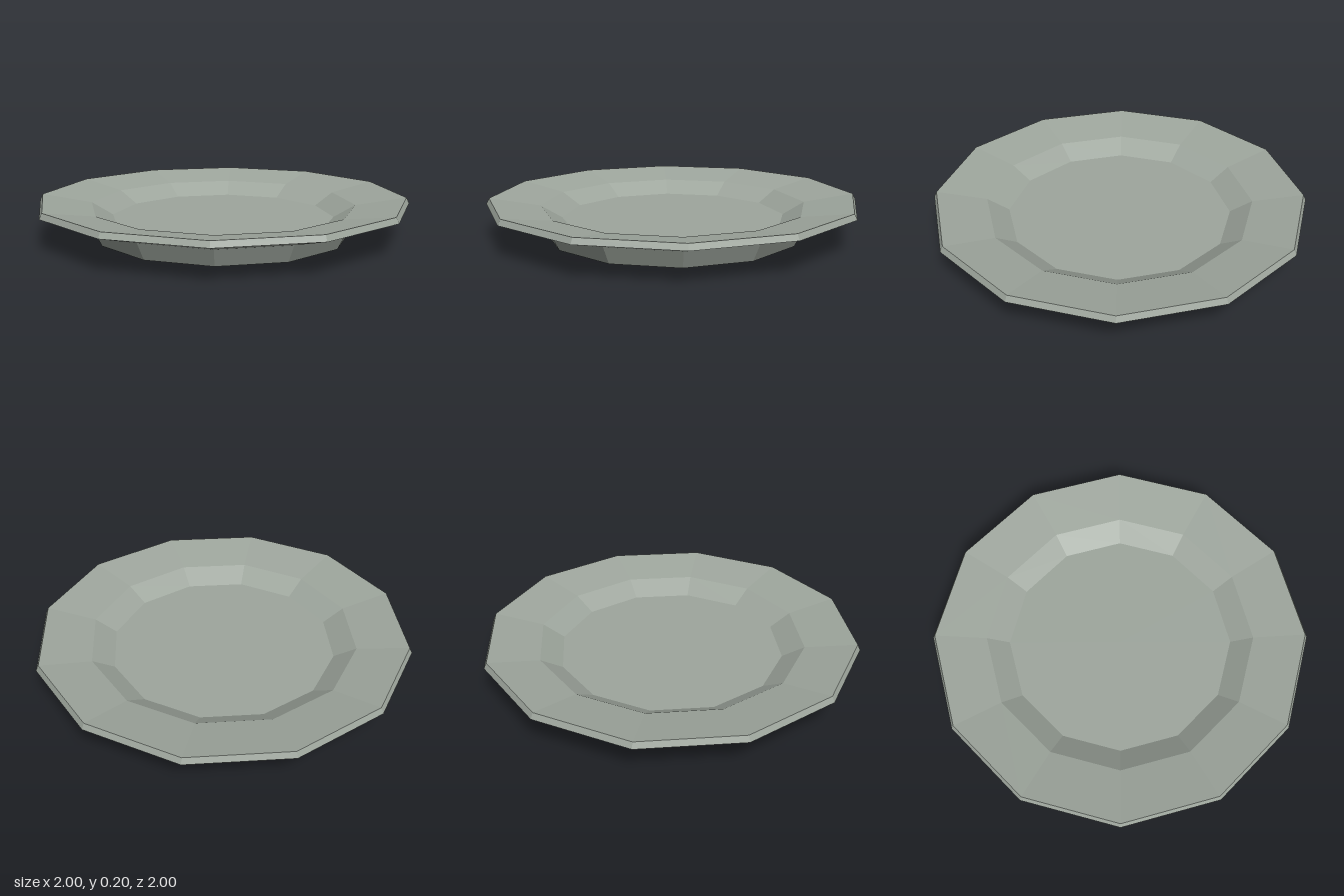
import * as THREE from 'three';

const SIDES = 12;

export function createModel() {
  const plate = new THREE.Group();
  plate.name = 'plate';
  const glaze = new THREE.MeshStandardMaterial({ color: 0x9ea69d, flatShading: true });
  glaze.name = 'grey green glaze';

  // Each part is a twelve-sided ring; its [radius, height] profile runs up the outside and back down the inside
  const addRing = (name, profile) => {
    const points = profile.map(([r, y]) => new THREE.Vector2(r, y));
    const mesh = new THREE.Mesh(new THREE.LatheGeometry(points, SIDES), glaze);
    mesh.name = name;
    plate.add(mesh);
  };

  // Closed base with its flared wall
  addRing('foot', [[0, 0], [0.685, 0], [0.735, 0.095]]);
  // Wide sloping rim: underside, thin outer edge and top
  addRing('rim', [[0.735, 0.095], [1, 0.17], [0.985, 0.2], [0.715, 0.157]]);
  // Sunken wall and flat floor
  addRing('well', [[0.715, 0.157], [0.6, 0.09], [0, 0.09]]);

  return plate;
}
